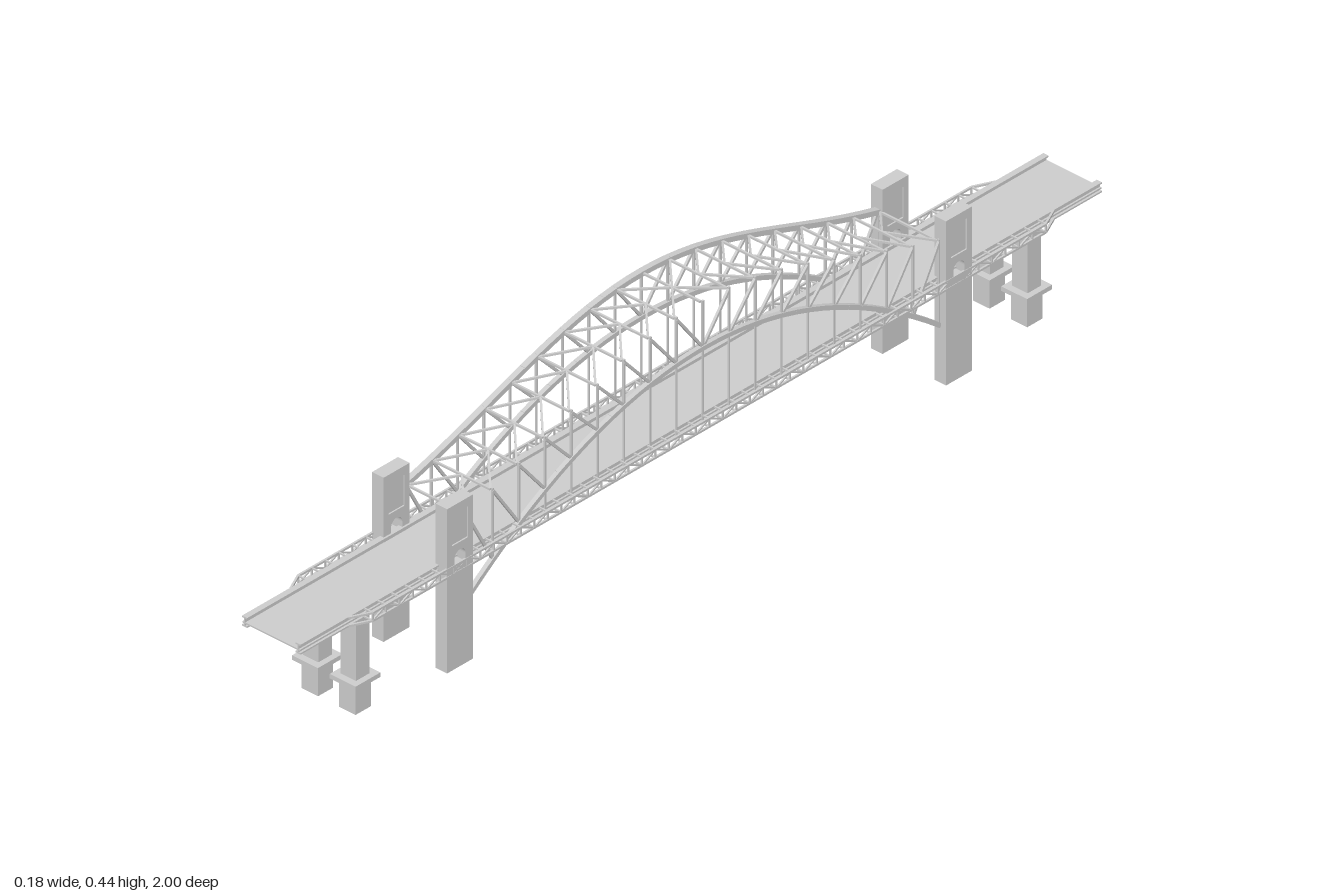
import * as THREE from 'three';
import { mergeGeometries } from 'three/addons/utils/BufferGeometryUtils.js';

const V = (x, y, z) => new THREE.Vector3(x, y, z);
const material = new THREE.MeshStandardMaterial({ color: 0xcccccc, flatShading: true, side: THREE.DoubleSide });
const UP = V(0, 1, 0);

const SPAN = 0.59, PANELS = 18, TRUSS_X = 0.071;
const DECK_Y = 0.198;

// Heights of the two arch chords along z
const upperY = z => {
  const t = z / SPAN;
  return 0.283 + 0.151 * (0.5 * (1 - t * t) + 0.25 * (1 + Math.cos(Math.PI * t)));
};
const lowerY = z => 0.345 - 0.23 * (z / SPAN) ** 2;
const panelZ = i => -SPAN + (2 * SPAN * i) / PANELS;

// Straight bar from a to b, w across and h high
function bar(a, b, w, h = w) {
  const geo = new THREE.BoxGeometry(w, h, a.distanceTo(b));
  const m = new THREE.Matrix4().lookAt(a, b, UP);
  m.setPosition(a.clone().add(b).multiplyScalar(0.5));
  return geo.applyMatrix4(m);
}

function box(w, h, d, x, y, z) {
  return new THREE.BoxGeometry(w, h, d).translate(x, y, z);
}

// Bars joining consecutive points
function barsAlong(points, w, h) {
  return points.slice(1).map((p, i) => bar(points[i], p, w, h));
}

// Slab in the z-y plane with holes, thickness t, centred on x
function slab(shape, t, x) {
  return new THREE.ExtrudeGeometry(shape, { depth: t, bevelEnabled: false, curveSegments: 8 })
    .translate(0, 0, -t / 2).rotateY(-Math.PI / 2).translate(x, 0, 0);
}

function rectangle(Type, x0, y0, x1, y1) {
  const p = new Type();
  p.moveTo(x0, y0);
  p.lineTo(x1, y0);
  p.lineTo(x1, y1);
  p.lineTo(x0, y1);
  p.closePath();
  return p;
}

function archOpening() {
  const p = new THREE.Path();
  p.moveTo(-0.014, 0.205);
  p.lineTo(0.014, 0.205);
  p.lineTo(0.014, 0.221);
  p.absarc(0, 0.221, 0.014, 0, Math.PI, false);
  p.closePath();
  return p;
}

// Tower: core with an arched passage and skins framing a recessed panel
function towerGeometry() {
  const core = rectangle(THREE.Shape, -0.0325, 0, 0.0325, 0.33);
  core.holes.push(archOpening());
  const skin = core.clone();
  skin.holes = [archOpening(), rectangle(THREE.Path, -0.02, 0.25, 0.02, 0.312)];
  return mergeGeometries([slab(core, 0.021, 0), slab(skin, 0.003, 0.012), slab(skin, 0.003, -0.012)]);
}

// Approach pier: footing, cap slab and slimmer column
function pierGeometry() {
  return mergeGeometries([
    box(0.038, 0.058, 0.038, 0, 0.029, 0),
    box(0.06, 0.009, 0.062, 0, 0.0625, 0),
    box(0.036, 0.131, 0.034, 0, 0.1325, 0),
  ]);
}

// Web of one arch truss: posts, diagonals and deck hangers
function webGeometry(x) {
  const parts = [];
  for (let i = 0; i <= PANELS; i++) {
    const z = panelZ(i), lo = lowerY(z);
    parts.push(bar(V(x, lo, z), V(x, upperY(z) + 0.005, z), 0.004));
    if (lo > 0.21) parts.push(bar(V(x, DECK_Y, z), V(x, lo, z), 0.003));
    if (i < PANELS) {
      const inner = i < PANELS / 2 ? i + 1 : i;
      const outer = i < PANELS / 2 ? i : i + 1;
      const zi = panelZ(inner), zo = panelZ(outer);
      parts.push(bar(V(x, lowerY(zi), zi), V(x, upperY(zo), zo), 0.005));
    }
  }
  return mergeGeometries(parts);
}

function chordGeometry(x, heightAt, w, h) {
  const points = [];
  for (let i = 0; i <= 36; i++) {
    const z = -SPAN + (2 * SPAN * i) / 36;
    points.push(V(x, heightAt(z), z));
  }
  return mergeGeometries(barsAlong(points, w, h));
}

// Cross struts and V bracing between the upper chords
function topBracingGeometry() {
  const parts = [], x = 0.066;
  for (let i = 0; i <= PANELS; i++) {
    const z = panelZ(i), y = upperY(z);
    parts.push(bar(V(-x, y, z), V(x, y, z), 0.004));
    if (i === PANELS) continue;
    const zn = panelZ(i + 1), yn = upperY(zn);
    const [ya, za, yb, zb] = i < PANELS / 2 ? [y, z, yn, zn] : [yn, zn, y, z];
    for (const s of [-1, 1]) parts.push(bar(V(s * x, ya, za), V(0, yb, zb), 0.004));
  }
  return mergeGeometries(parts);
}

// Outrigged side walkway of open lattice, tapering in at both ends
function walkwayGeometry(s) {
  const parts = [], inX = s * 0.067, outX = s * 0.086, bot = 0.192, top = 0.208, n = 50;
  for (const y of [bot, top]) {
    const path = [V(inX, y, -0.88), V(outX, y, -0.84), V(outX, y, 0.84), V(inX, y, 0.88)];
    parts.push(...barsAlong(path, 0.004));
  }
  for (let i = 0; i <= n; i++) {
    const z = -0.84 + (1.68 * i) / n, zn = z + 1.68 / n;
    parts.push(bar(V(inX, bot, z), V(outX, bot, z), 0.003));
    parts.push(bar(V(inX, top, z), V(outX, top, z), 0.003));
    parts.push(bar(V(outX, bot, z), V(outX, top, z), 0.003));
    if (i < n) parts.push(bar(V(outX, i % 2 ? top : bot, z), V(outX, i % 2 ? bot : top, zn), 0.003));
  }
  return mergeGeometries(parts);
}

// I-shaped girder along each edge of the deck
function edgeGirderGeometry(s) {
  return mergeGeometries([
    box(0.012, 0.003, 2, s * 0.062, 0.2085, 0),
    box(0.012, 0.003, 2, s * 0.062, 0.1915, 0),
    box(0.003, 0.017, 2, s * 0.062, 0.2, 0),
  ]);
}

export function createModel() {
  const model = new THREE.Group();
  model.name = 'archBridge';
  const bridge = new THREE.Group();
  bridge.name = 'bridge';
  bridge.position.x = 0.002;
  model.add(bridge);

  const add = (name, geo, x = 0, z = 0) => {
    const mesh = new THREE.Mesh(geo, material);
    mesh.name = name;
    mesh.position.set(x, 0, z);
    bridge.add(mesh);
  };

  add('deck', box(0.134, 0.003, 2, 0, DECK_Y, 0));
  add('topBracing', topBracingGeometry());
  add('upperChord', chordGeometry(-TRUSS_X, upperY, 0.012, 0.01));

  const tower = towerGeometry(), pier = pierGeometry();
  for (const s of [-1, 1]) {
    const side = s > 0 ? 'left' : 'right';
    add(side + 'EdgeGirder', edgeGirderGeometry(s));
    add(side + 'Walkway', walkwayGeometry(s));
    add(side + 'LowerChord', chordGeometry(s * TRUSS_X, lowerY, 0.009, 0.009));
    add(side + 'ArchWeb', webGeometry(s * TRUSS_X));
    for (const e of [-1, 1]) {
      const end = e > 0 ? 'Front' : 'Back';
      add(side + end + 'Tower', tower, s * 0.0735, e * 0.6225);
      add(side + end + 'Pier', pier, s * 0.0435, e * 0.838);
    }
  }
  return model;
}
